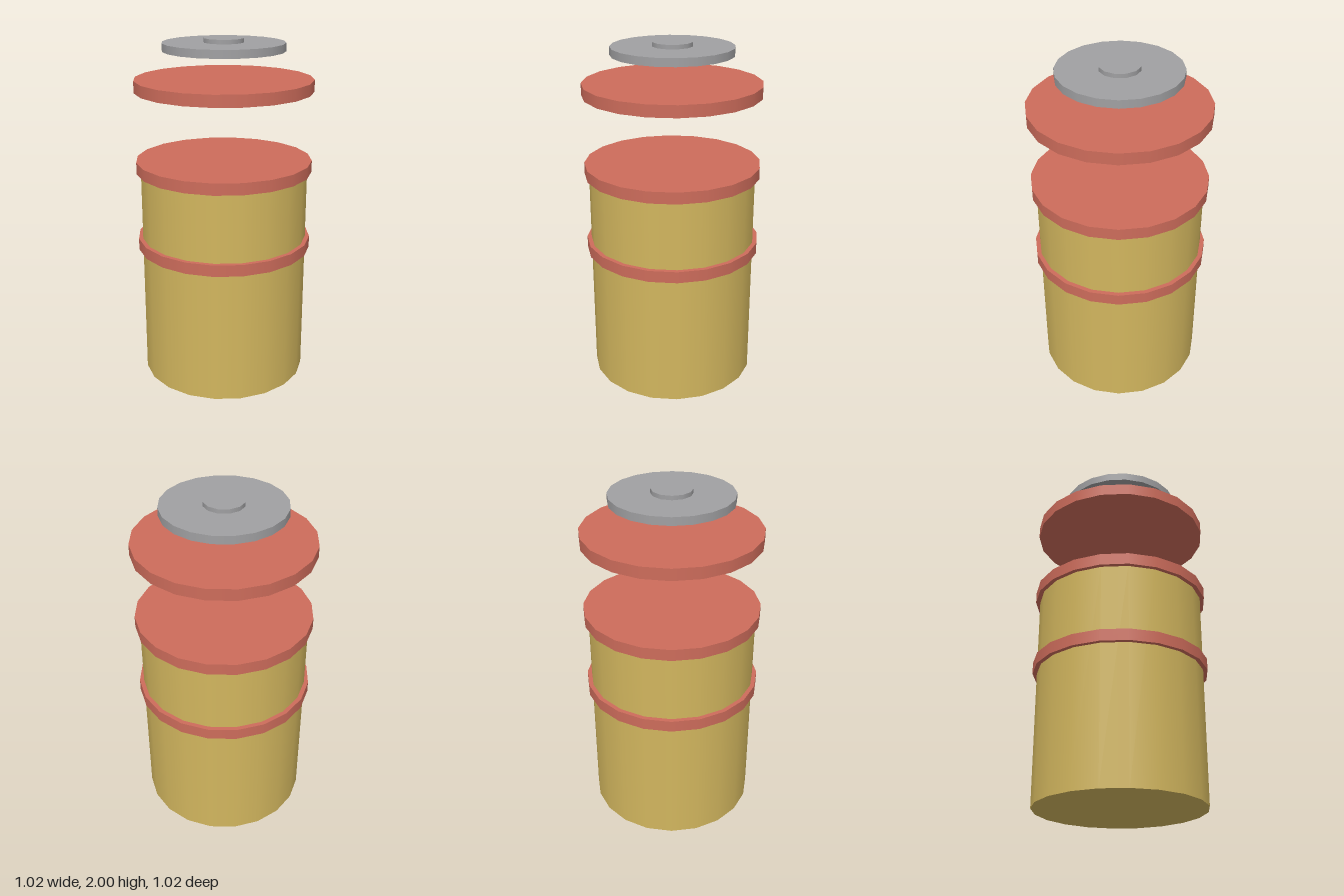
import * as THREE from 'three';

const gold = new THREE.MeshStandardMaterial({ name: 'gold', color: 0xd2b65e });
const red = new THREE.MeshStandardMaterial({ name: 'red', color: 0xcd6c5b });
const grey = new THREE.MeshStandardMaterial({ name: 'grey', color: 0xa0a0a2 });

// Upright cylinder spanning y0..y1
function disc(name, radius, y0, y1, sides, material) {
  const mesh = new THREE.Mesh(new THREE.CylinderGeometry(radius, radius, y1 - y0, sides), material);
  mesh.name = name;
  mesh.position.y = (y0 + y1) / 2;
  return mesh;
}

export function createModel() {
  const model = new THREE.Group();
  model.name = 'canister';

  // Barrel with its two raised bands
  model.add(disc('body', 0.485, 0, 1.26, 20, gold));
  model.add(disc('middleBand', 0.51, 0.78, 0.847, 20, red));
  model.add(disc('topBand', 0.51, 1.243, 1.31, 20, red));

  // Floating lid plates and knob
  model.add(disc('floatingPlate', 0.51, 1.708, 1.775, 20, red));
  model.add(disc('lid', 0.347, 1.93, 1.976, 20, grey));
  model.add(disc('knob', 0.115, 1.976, 2, 12, grey));

  return model;
}
